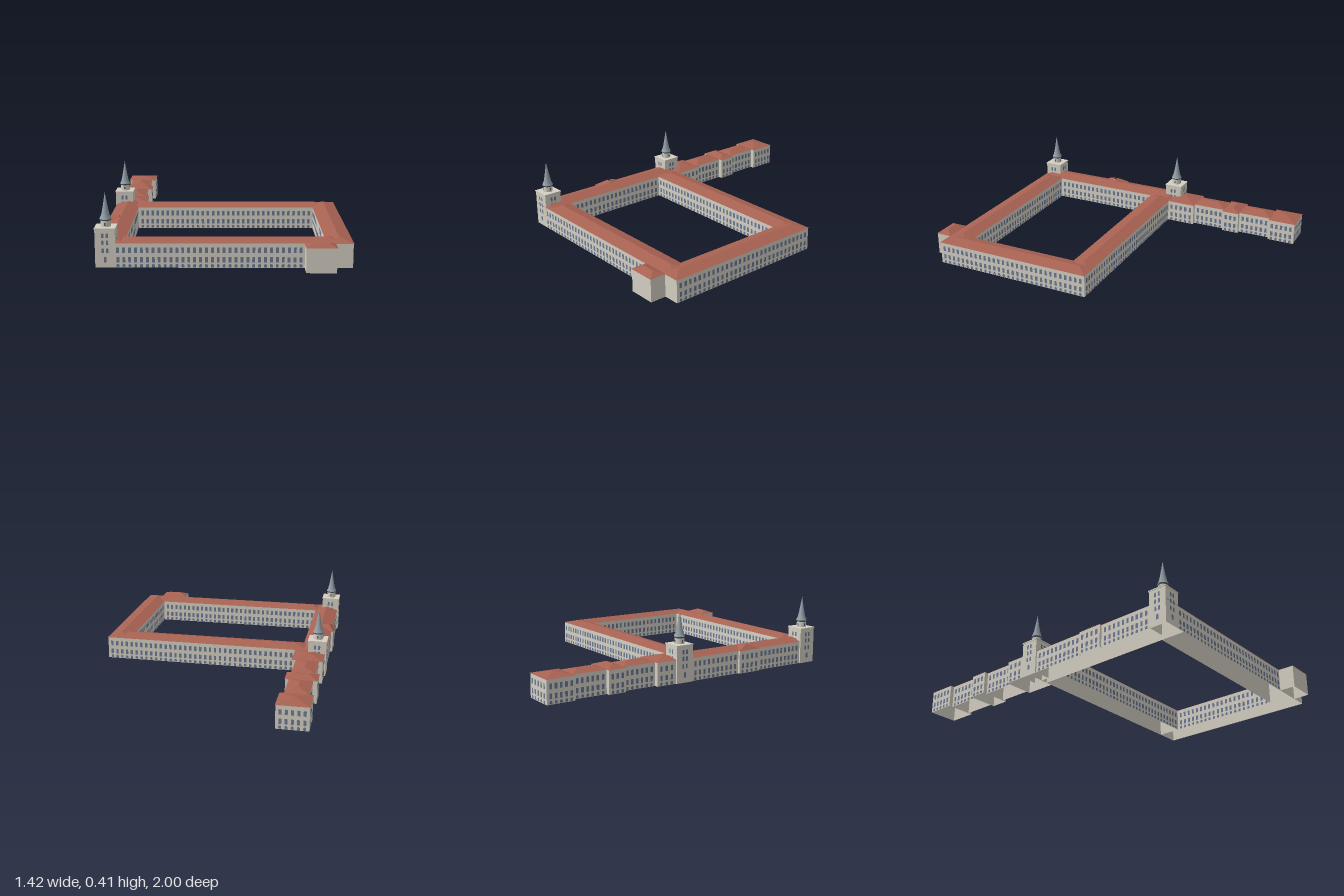
import * as THREE from 'three';
import { mergeGeometries } from 'three/addons/utils/BufferGeometryUtils.js';

const mat = (name, color, side = THREE.FrontSide) => {
  const m = new THREE.MeshStandardMaterial({ color, side });
  m.name = name;
  return m;
};

export function createModel() {
  const model = new THREE.Group();
  model.name = 'courtyardPalace';
  const wall = mat('plaster', 0xd5d0c3, THREE.DoubleSide);
  const roof = mat('roofTile', 0xa86252);
  const glass = mat('windowGlass', 0x6b7a95);
  const slate = mat('spireSlate', 0x94a0a9);
  const dark = mat('darkSlate', 0x566069);

  const EAVES = 0.138, RIDGE = 0.158;

  const add = (name, geometry, material, parent = model) => {
    const mesh = new THREE.Mesh(geometry, material);
    mesh.name = name;
    parent.add(mesh);
    return mesh;
  };

  // Box between two corners of the ground plan
  const box = (x0, x1, z0, z1, y0, y1) =>
    new THREE.BoxGeometry(x1 - x0, y1 - y0, z1 - z0)
      .translate((x0 + x1) / 2, (y0 + y1) / 2, (z0 + z1) / 2);

  // Four walls standing on the ground, without floor or ceiling
  const walls = (name, x0, x1, z0, z1, height = EAVES, parent = model) => {
    const g = box(x0, x1, z0, z1, 0, height);
    g.setIndex([...g.index.array].filter((_, i) => i < 12 || i >= 24));
    g.clearGroups();
    add(name, g, wall, parent);
  };

  // Hipped roof: every eaves corner rises to the ridge rectangle inset by ix, iz
  const hipRoof = (name, x0, x1, z0, z1, ix, iz, top = RIDGE) => {
    const o = 0.003;
    const corners = [[x0, z1, -1, 1], [x1, z1, 1, 1], [x1, z0, 1, -1], [x0, z0, -1, -1]];
    const low = corners.map(([x, z, sx, sz]) => [x + sx * o, EAVES, z + sz * o]);
    const high = corners.map(([x, z, sx, sz]) => [x - sx * ix, top, z - sz * iz]);
    const p = [];
    const tri = (...v) => {
      const [a, b, c] = v.map((q) => new THREE.Vector3(...q));
      if (b.sub(a).cross(c.sub(a)).length() > 1e-8) v.forEach((q) => p.push(...q));
    };
    for (let i = 0; i < 4; i++) {
      const j = (i + 1) % 4;
      tri(low[i], low[j], high[j]);
      tri(low[i], high[j], high[i]);
    }
    tri(low[3], low[2], low[1]);
    tri(low[3], low[1], low[0]);
    const g = new THREE.BufferGeometry();
    g.setAttribute('position', new THREE.Float32BufferAttribute(p, 3));
    g.computeVertexNormals();
    add(name, g, roof);
  };

  // Window pane outline, optionally round-headed, standing on y = 0
  const pane = (w, h, arched) => {
    const s = new THREE.Shape();
    const r = w / 2;
    s.moveTo(-r, 0);
    s.lineTo(r, 0);
    if (arched) {
      s.lineTo(r, h - r);
      s.absarc(0, h - r, r, 0, Math.PI, false);
    } else {
      s.lineTo(r, h);
      s.lineTo(-r, h);
    }
    s.closePath();
    return new THREE.ShapeGeometry(s, 4);
  };

  // Three storeys: sill height, pane height, round head
  const storeys = [[0.003, 0.019, true], [0.031, 0.03, false], [0.084, 0.031, false]];

  // Windows along a wall from its left end to its right end, as seen from outside
  const windows = (name, x0, z0, x1, z1) => {
    const len = Math.hypot(x1 - x0, z1 - z0);
    const nx = -(z1 - z0) / len, nz = (x1 - x0) / len;
    const n = Math.max(1, Math.round(len / 0.0325));
    const list = [];
    for (let i = 0; i < n; i++) {
      const t = (i + 0.5) / n;
      for (const [sill, h, arched] of storeys) {
        const g = pane(0.016, h, arched);
        g.rotateY(Math.atan2(nx, nz));
        g.translate(x0 + (x1 - x0) * t + nx * 0.0015, sill, z0 + (z1 - z0) * t + nz * 0.0015);
        list.push(g);
      }
    }
    add(name, mergeGeometries(list), glass);
  };

  // Four wings round the courtyard
  walls('westWing', -0.695, -0.55, -0.11, 0.9);
  walls('eastWing', 0.565, 0.708, -0.11, 0.9);
  walls('northWing', -0.55, 0.565, -0.11, 0.037);
  walls('southWing', -0.55, 0.565, 0.755, 0.9);
  hipRoof('westRoof', -0.695, -0.55, -0.11, 0.9, 0.0725, 0.0725, 0.16);
  hipRoof('eastRoof', 0.565, 0.708, -0.11, 0.9, 0.0715, 0.0725);
  hipRoof('northRoof', -0.575, 0.648, -0.11, 0.037, 0.075, 0.0735);
  hipRoof('southRoof', -0.575, 0.648, 0.755, 0.9, 0.075, 0.0725);

  windows('southWindows', -0.595, 0.9, 0.438, 0.9);
  windows('eastWindows', 0.708, 0.89, 0.708, -0.1);
  windows('northWindows', 0.698, -0.11, -0.5, -0.11);
  windows('westWindowsFront', -0.695, 0.46, -0.695, 0.78);
  windows('westWindowsBack', -0.695, -0.045, -0.695, 0.285);
  windows('courtSouthWindows', 0.555, 0.755, -0.54, 0.755);
  windows('courtNorthWindows', -0.54, 0.037, 0.555, 0.037);
  windows('courtWestWindows', -0.55, 0.745, -0.55, 0.047);
  windows('courtEastWindows', 0.565, 0.047, 0.565, 0.745);

  // Plain annex on the front
  walls('frontAnnex', 0.443, 0.609, 0.9, 0.997);
  hipRoof('frontAnnexRoof', 0.443, 0.609, 0.9, 0.997, 0.045, 0.0485);

  // Shallow projecting bay on the west side, its roof running into the wing's slope
  walls('westBay', -0.708, -0.69, 0.293, 0.447);
  hipRoof('westBayRoof', -0.708, -0.602, 0.293, 0.447, 0.033, 0.072, 0.166);
  windows('westBayWindows', -0.708, 0.3, -0.708, 0.44);

  // Rear range: pavilions alternating with narrower links
  const range = [
    ['innerPavilion', -0.295, -0.11, true, 0.0925],
    ['innerLink', -0.505, -0.295, false, 0.066],
    ['middlePavilion', -0.615, -0.505, true, 0.055],
    ['outerLink', -0.825, -0.615, false, 0.066],
    ['endPavilion', -0.997, -0.825, true, 0.085],
  ];
  for (const [name, z0, z1, wide, inset] of range) {
    const x0 = wide ? -0.695 : -0.67, x1 = wide ? -0.511 : -0.536;
    const half = (x1 - x0) / 2;
    walls(name, x0, x1, z0, z1);
    hipRoof(name + 'Roof', x0, x1, z0, z1, name === 'middlePavilion' ? 0.055 : half, inset);
    windows(name + 'EastWindows', x1, z1 - 0.008, x1, z0 + 0.008);
    const west = name === 'innerPavilion' ? -0.17 : z1;
    windows(name + 'WestWindows', x0, z0 + 0.008, x0, west - 0.008);
  }
  windows('endPavilionNorthWindows', -0.52, -0.997, -0.687, -0.997);

  // Square towers with round lantern and slate spire
  const spireProfile = [[0.033, 0.264], [0.03, 0.272], [0.024, 0.283], [0.018, 0.31],
    [0.0115, 0.345], [0.0055, 0.38], [0, 0.413]].map(([r, y]) => new THREE.Vector2(r, y));
  const tower = (name, x, z) => {
    const g = new THREE.Group();
    g.name = name;
    g.position.set(x, 0, z);
    model.add(g);
    const h = 0.0555, c = 0.0585;
    walls('towerShaft', -h, h, -h, h, 0.217, g);
    add('towerCornice', box(-c, c, -c, c, 0.215, 0.222), wall, g);
    add('lantern', new THREE.CylinderGeometry(0.028, 0.029, 0.038, 16), wall, g).position.y = 0.239;
    add('lanternCornice', new THREE.CylinderGeometry(0.033, 0.03, 0.008, 16), dark, g).position.y = 0.26;
    add('spire', new THREE.LatheGeometry(spireProfile, 16), slate, g);
    // Paired windows, a door and a lantern opening on each side
    const panes = [], openings = [];
    for (let k = 0; k < 4; k++) {
      const put = (list, w, ph, px, y, d) => {
        const p = pane(w, ph, true);
        p.translate(px, y, d);
        list.push(p.rotateY(k * Math.PI / 2));
      };
      for (const y of [0.084, 0.128, 0.168])
        for (const s of [-1, 1]) put(panes, 0.013, 0.027, s * 0.0125, y, h + 0.0015);
      put(panes, 0.015, 0.032, 0, 0.031, h + 0.0015);
      put(openings, 0.009, 0.017, 0, 0.23, 0.0298);
    }
    add('towerWindows', mergeGeometries(panes), glass, g);
    add('lanternOpenings', mergeGeometries(openings), dark, g);
  };
  tower('frontTower', -0.648, 0.845);
  tower('rearTower', -0.648, -0.11);

  return model;
}
